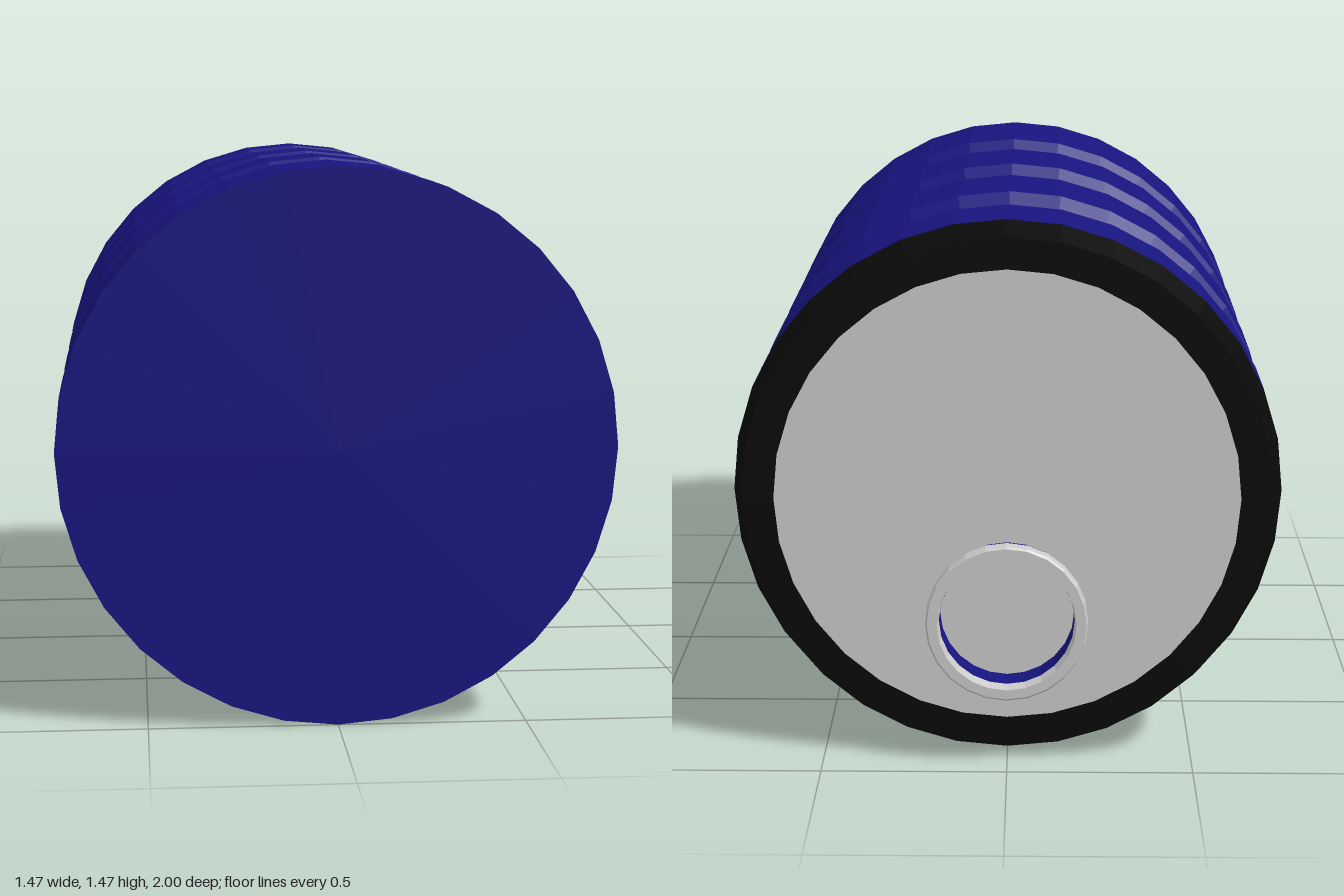
import * as THREE from 'three';

const R = 0.735;       // barrel radius, also the height of its axis
const GROOVE = 0.66;   // radius at the bottom of the grooves

const paint = (color) => new THREE.MeshStandardMaterial({ color, flatShading: true });
const blue = paint(0x17147f);
const black = paint(0x0a0a0a);
const grey = paint(0xcccccc);

// Revolve [radius, z] points (front to back) around a z-parallel axis at height y
function revolve(name, points, sides, material, y) {
  const profile = points.map(([r, z]) => new THREE.Vector2(r, -z));
  const geometry = new THREE.LatheGeometry(profile, sides);
  geometry.rotateX(-Math.PI / 2);
  const mesh = new THREE.Mesh(geometry, material);
  mesh.name = name;
  mesh.position.y = y;
  return mesh;
}

export function createModel() {
  const group = new THREE.Group();
  group.name = 'barrel';

  // Body: closed front, three grooves with chamfered shoulders
  const body = [[0, 1], [R, 1]];
  for (const z of [0.508, 0.01, -0.48]) {
    body.push([R, z + 0.105], [0.7, z + 0.064], [GROOVE, z + 0.064]);
    body.push([GROOVE, z - 0.064], [0.7, z - 0.064], [R, z - 0.105]);
  }
  body.push([R, -0.805]);
  group.add(revolve('body', body, 32, blue, R));

  // Tapered black rim around the back end
  group.add(revolve('rim', [[R, -0.805], [0.705, -0.895], [0.62, -0.895]], 32, black, R));

  // Flat end plate inside the rim
  group.add(revolve('endPlate', [[0.62, -0.895], [0, -0.895]], 32, grey, R));

  // Open spout low on the end plate, with a wider lip
  const spoutY = 0.42;
  group.add(revolve('spout',
    [[0.195, -0.89], [0.195, -0.965], [0.18, -0.965], [0.18, -0.89]], 24, blue, spoutY));
  group.add(revolve('spoutLip',
    [[0.18, -0.963], [0.216, -0.963], [0.216, -0.995], [0.211, -1], [0.185, -1], [0.18, -0.963]],
    24, grey, spoutY));

  return group;
}
